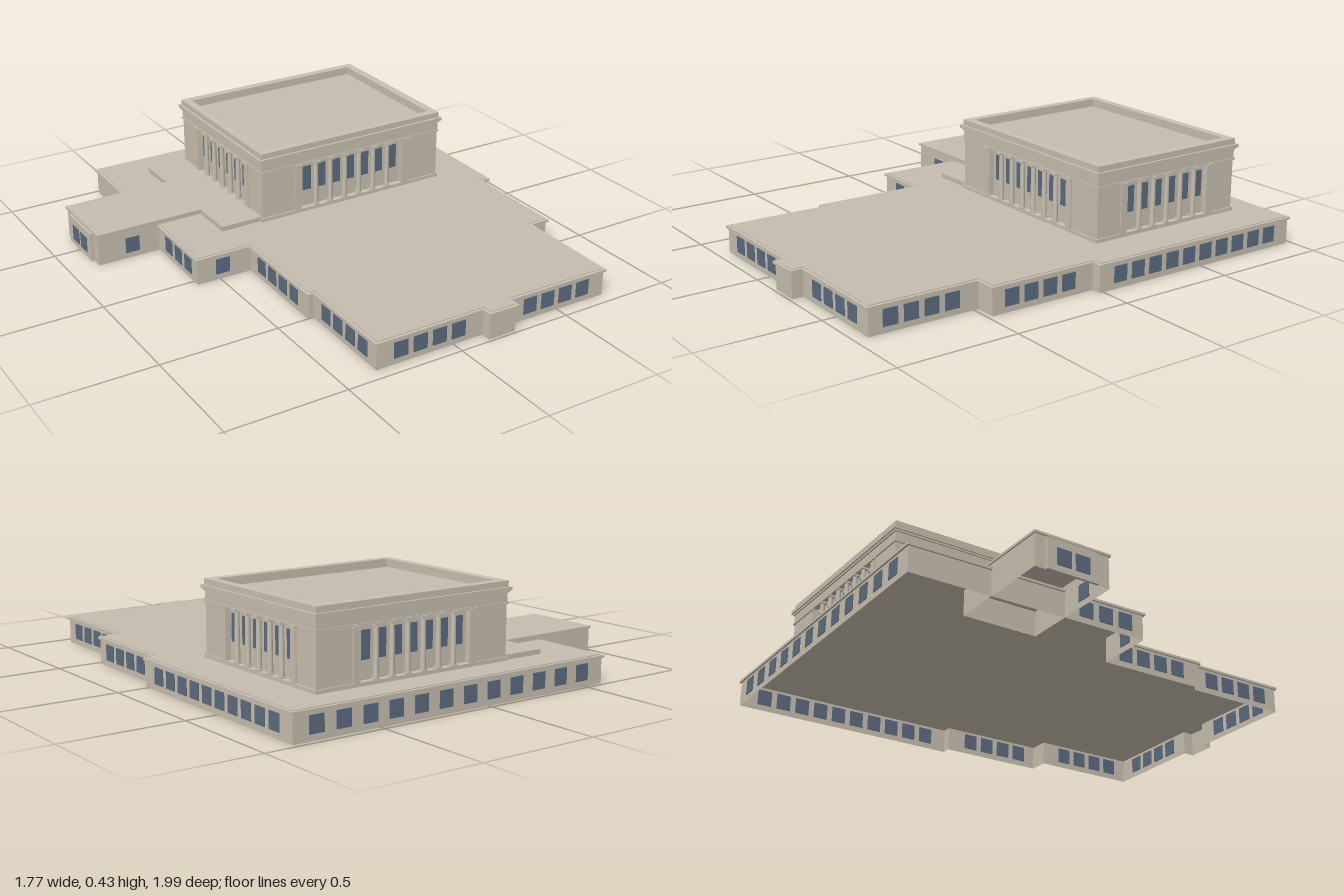
import * as THREE from 'three';

const stone = new THREE.MeshStandardMaterial({ color: 0xc8c0b0, side: THREE.DoubleSide });
stone.name = 'stone';
const roof = new THREE.MeshStandardMaterial({ color: 0xc5bcae, side: THREE.DoubleSide });
roof.name = 'roof';
const glass = new THREE.MeshStandardMaterial({ color: 0x5b6c80 });
glass.name = 'glass';

function add(parent, name, geometry, material) {
  const mesh = new THREE.Mesh(geometry, material);
  mesh.name = name;
  parent.add(mesh);
  return mesh;
}

// Box given by its limits
function box(parent, name, material, x0, x1, y0, y1, z0, z1) {
  const mesh = add(parent, name, new THREE.BoxGeometry(x1 - x0, y1 - y0, z1 - z0), material);
  mesh.position.set((x0 + x1) / 2, (y0 + y1) / 2, (z0 + z1) / 2);
  return mesh;
}

// Move an outline of [x, z] points outward by d with mitred corners
function offset(points, d) {
  const n = points.length;
  const normal = (a, b) => new THREE.Vector2(b[1] - a[1], a[0] - b[0]).normalize();
  return points.map((p, i) => {
    const n1 = normal(points[(i + n - 1) % n], p);
    const n2 = normal(p, points[(i + 1) % n]);
    const k = d / (1 + n1.dot(n2));
    return [p[0] + (n1.x + n2.x) * k, p[1] + (n1.y + n2.y) * k];
  });
}

// Flat slab over an outline
function slab(parent, name, material, points, y0, y1, hole) {
  const vectors = (list) => list.map(([x, z]) => new THREE.Vector2(x, -z));
  const shape = new THREE.Shape(vectors(points));
  if (hole) shape.holes.push(new THREE.Path(vectors(hole)));
  const geometry = new THREE.ExtrudeGeometry(shape, { depth: y1 - y0, bevelEnabled: false });
  geometry.rotateX(-Math.PI / 2);
  add(parent, name, geometry, material).position.y = y0;
}

// Thin upright panel between two [x, z] points
function wall(parent, a, b, height) {
  const dx = b[0] - a[0], dz = b[1] - a[1];
  const mesh = add(parent, 'wall', new THREE.PlaneGeometry(Math.hypot(dx, dz), height), stone);
  mesh.position.set((a[0] + b[0]) / 2, height / 2, (a[1] + b[1]) / 2);
  mesh.rotation.y = Math.atan2(dz, -dx);
}

// Row of window plates on the wall a-b, at values along x or z
function windows(parent, a, b, values, width = 0.062, y0 = 0.025, y1 = 0.092) {
  const dx = b[0] - a[0], dz = b[1] - a[1];
  const axis = Math.abs(dx) > Math.abs(dz) ? 0 : 1;
  for (const v of values) {
    const t = (v - a[axis]) / (b[axis] - a[axis]);
    const pane = add(parent, 'window', new THREE.BoxGeometry(width, y1 - y0, 0.006), glass);
    pane.position.set(a[0] + dx * t, (y0 + y1) / 2, a[1] + dz * t);
    pane.rotation.y = Math.atan2(dz, -dx);
  }
}

const row = (start, step, count) => Array.from({ length: count }, (_, i) => start + step * i);
const rect = (x0, x1, z0, z1) => [[x0, z0], [x1, z0], [x1, z1], [x0, z1]];

function buildBase() {
  const base = new THREE.Group();
  base.name = 'lowerStorey';
  const outline = [
    [-0.587, -0.985], [0.872, -0.977], [0.865, 0.018], [0.825, 0.018], [0.82, 0.48],
    [0.733, 0.48], [0.728, 0.945], [0.258, 0.94], [0.258, 0.988], [0.135, 0.988],
    [0.135, 0.945], [-0.347, 0.945], [-0.342, 0.505], [-0.367, 0.505], [-0.36, 0.037],
    [-0.602, 0.034],
  ];
  const edge = (i) => [outline[i], outline[(i + 1) % outline.length]];
  outline.forEach((_, i) => wall(base, ...edge(i), 0.107));
  slab(base, 'cornice', stone, offset(outline, 0.008), 0.104, 0.114);
  slab(base, 'roofDeck', roof, offset(outline, -0.004), 0.112, 0.117);

  const rows = [
    [0, row(-0.48, 0.114, 12)],
    [1, row(-0.869, 0.0873, 10)],
    [3, row(0.134, 0.0867, 4)],
    [5, row(0.595, 0.0867, 4)],
    [6, row(0.364, 0.086, 4)],
    [10, row(-0.239, 0.0867, 4)],
    [11, row(0.595, 0.0867, 4)],
    [13, row(0.134, 0.0867, 4)],
    [14, [-0.488]],
    [15, [-0.23, -0.14, -0.05]],
  ];
  for (const [i, values] of rows) windows(base, ...edge(i), values);
  return base;
}

function buildWing() {
  const wing = new THREE.Group();
  wing.name = 'sideWing';
  const outline = rect(-0.872, -0.4, -0.645, -0.327);
  outline.forEach((p, i) => wall(wing, p, outline[(i + 1) % 4], 0.134));
  slab(wing, 'wingRoof', roof, offset(outline, 0.006), 0.13, 0.14);
  box(wing, 'endPorch', stone, -0.884, -0.872, 0, 0.125, -0.6, -0.38);
  windows(wing, outline[2], outline[3], [-0.72]);
  windows(wing, [-0.884, -0.38], [-0.884, -0.6], [-0.53, -0.45]);
  // Terrace beside the hall
  box(wing, 'terrace', roof, -0.4, -0.2, 0.114, 0.137, -0.84, -0.13);
  return wing;
}

function buildHall() {
  const hall = new THREE.Group();
  hall.name = 'upperHall';
  hall.position.set(0.233, 0, -0.482);
  const hx = 0.445, hz = 0.36, inset = 0.018;
  const around = (d) => rect(-hx - d, hx + d, -hz - d, hz + d);

  // Plinth, recessed core and solid corner blocks
  slab(hall, 'plinth', stone, around(0.006), 0.115, 0.132);
  box(hall, 'core', stone, -hx + inset, hx - inset, 0.13, 0.34, -hz + inset, hz - inset);
  const cx = 0.288, cz = 0.244;
  for (const sx of [-1, 1]) for (const sz of [-1, 1]) {
    const x = [sx * cx, sx * hx].sort((a, b) => a - b);
    const z = [sz * cz, sz * hz].sort((a, b) => a - b);
    box(hall, 'cornerBlock', stone, x[0], x[1], 0.13, 0.34, z[0], z[1]);
  }

  // Colonnades, one per side
  const sides = [
    { angle: 0, depth: hz, count: 7, end: 0.272 },
    { angle: Math.PI, depth: hz, count: 7, end: 0.272 },
    { angle: Math.PI / 2, depth: hx, count: 6, end: 0.228 },
    { angle: -Math.PI / 2, depth: hx, count: 6, end: 0.228 },
  ];
  for (const { angle, depth, count, end } of sides) {
    const side = new THREE.Group();
    side.name = 'colonnade';
    side.rotation.y = angle;
    hall.add(side);
    const pitch = 0.0726;
    const face = depth - inset;
    windows(side, [1, face], [-1, face], row(-pitch * (count - 1) / 2, pitch, count), 0.04, 0.206, 0.315);
    for (const x of row(-pitch * (count - 2) / 2, pitch, count - 1)) {
      const shaft = add(side, 'column', new THREE.CylinderGeometry(0.0095, 0.0115, 0.2, 12), stone);
      shaft.position.set(x, 0.232, depth - 0.003);
      box(side, 'capital', stone, x - 0.014, x + 0.014, 0.328, 0.34, depth - 0.018, depth + 0.012);
      box(side, 'columnBase', stone, x - 0.013, x + 0.013, 0.13, 0.138, depth - 0.016, depth + 0.009);
    }
    for (const s of [-1, 1]) {
      const x = s * end;
      box(side, 'endPilaster', stone, x - 0.016, x + 0.016, 0.13, 0.33, depth - inset, depth + 0.006);
      box(side, 'capital', stone, x - 0.018, x + 0.018, 0.328, 0.34, depth - inset, depth + 0.012);
    }
  }

  // Entablature, main cornice and parapet around a sunken roof
  slab(hall, 'architrave', stone, around(0.006), 0.336, 0.344);
  slab(hall, 'frieze', stone, around(0.002), 0.344, 0.382);
  slab(hall, 'lowerCornice', stone, around(0.008), 0.38, 0.39);
  slab(hall, 'mainCornice', stone, around(0.014), 0.388, 0.402, around(-0.032));
  slab(hall, 'parapet', stone, around(0.004), 0.402, 0.426, around(-0.032));
  slab(hall, 'hallRoof', roof, around(-0.03), 0.385, 0.392);
  return hall;
}

export function createModel() {
  const model = new THREE.Group();
  model.name = 'civicHall';
  model.add(buildBase(), buildWing(), buildHall());
  return model;
}
